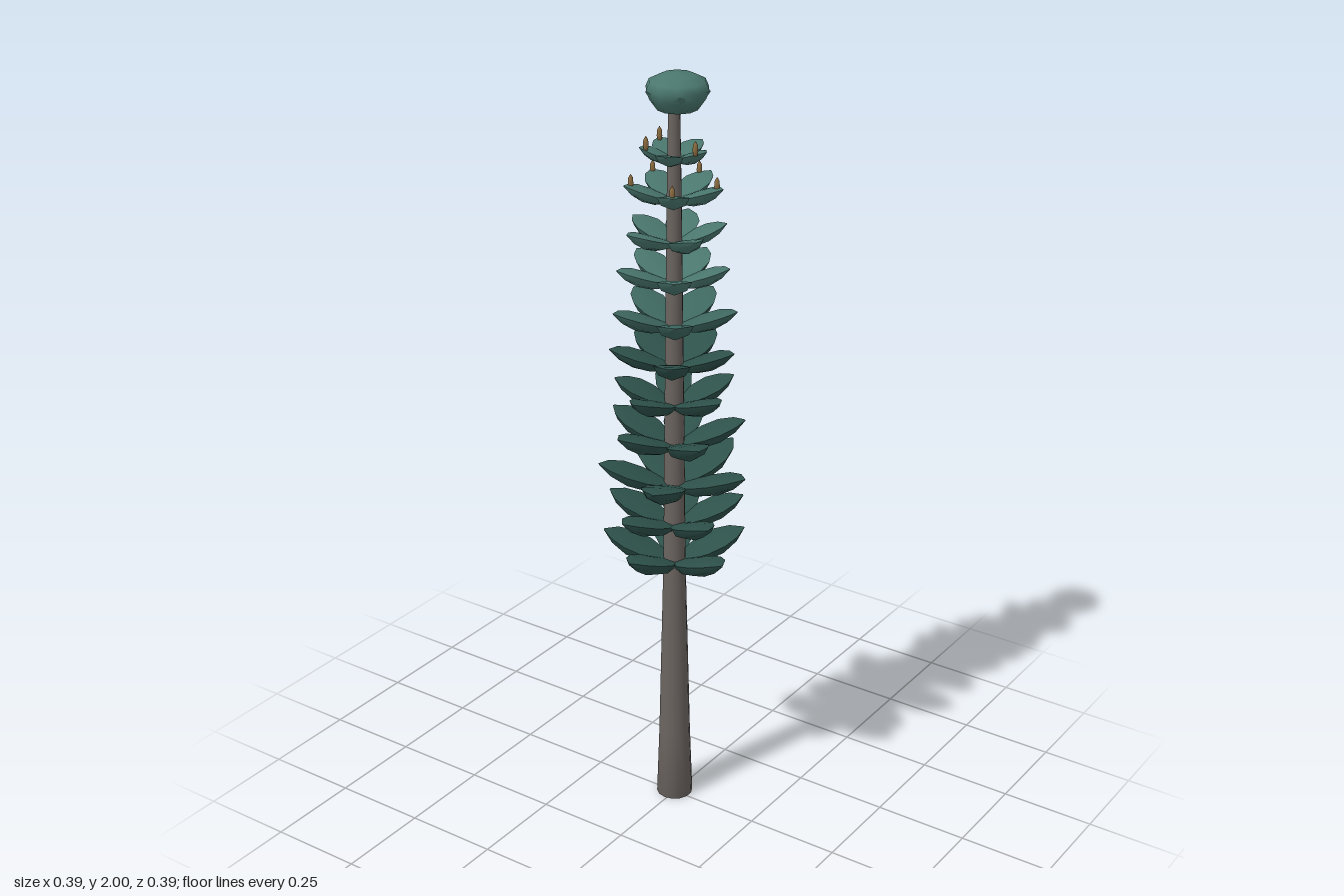
import * as THREE from 'three';

const material = (name, color) => {
  const m = new THREE.MeshStandardMaterial({ color, side: THREE.DoubleSide });
  m.name = name;
  return m;
};

// Small repeatable variation
let seed = 7;
const vary = (amount) => {
  seed = (seed * 16807) % 2147483647;
  return (seed / 2147483647 - 0.5) * 2 * amount;
};

const lathe = (profile, sides) =>
  new THREE.LatheGeometry(profile.map(([r, y]) => new THREE.Vector2(r, y)), sides);

// Leaf-shaped bough along +x: nearly flat top, rounded keel below, pointed tip
function boughGeometry(length, width, depth, rise) {
  const stations = [[0, 0.2], [0.18, 0.6], [0.4, 0.95], [0.64, 1], [0.85, 0.66], [1, 0.06]];
  const top = [[-1, 0.14], [-0.5, 0.2], [0, 0.22], [0.5, 0.2], [1, 0.14]];
  const keel = [[1, 0.14], [0.72, -0.35], [0, -0.62], [-0.72, -0.35], [-1, 0.14]];
  const points = [], index = [];
  for (const row of [top, keel]) {
    const start = points.length / 3, n = row.length;
    stations.forEach(([t, w]) => row.forEach(([side, up]) => {
      points.push(t * length, rise * Math.pow(t, 1.1) + up * depth * w, side * width * w / 2);
    }));
    for (let i = 0; i < stations.length - 1; i++) {
      for (let j = 0; j < n - 1; j++) {
        const a = start + i * n + j, b = a + 1;
        index.push(a, b, a + n, b, b + n, a + n);
      }
    }
  }
  const g = new THREE.BufferGeometry();
  g.setAttribute('position', new THREE.Float32BufferAttribute(points, 3));
  g.setIndex(index);
  g.computeVertexNormals();
  return g;
}

export function createModel() {
  const tree = new THREE.Group();
  tree.name = 'conifer';
  const bark = material('greyBark', 0x6b6460);
  const lower = material('deepGreen', 0x2e524b);
  const middle = material('midGreen', 0x3e6860);
  const upper = material('lightGreen', 0x4a776e);
  const coneBrown = material('coneBrown', 0x8a6c40);
  const cx = -0.006, cz = -0.009;

  const add = (parent, name, geometry, mat, x = 0, y = 0, z = 0) => {
    const mesh = new THREE.Mesh(geometry, mat);
    mesh.name = name;
    mesh.position.set(x, y, z);
    parent.add(mesh);
    return mesh;
  };

  // Tapered trunk
  const trunkProfile = [[0, 0], [0.048, 0], [0.041, 0.2], [0.035, 0.45], [0.029, 0.7], [0.024, 1.2], [0.018, 1.7], [0.014, 1.93]];
  add(tree, 'trunk', lathe(trunkProfile, 14), bark, cx, 0, cz);

  // Whorls of five boughs: root height, reach, heading of the first bough in degrees
  const tiers = [
    [0.705, 0.193, 90], [0.812, 0.178, 100], [0.922, 0.2, 67], [1.037, 0.18, 108],
    [1.147, 0.162, 90], [1.252, 0.16, 60], [1.358, 0.158, 54], [1.472, 0.142, 54],
    [1.575, 0.132, 108], [1.685, 0.124, 60], [1.787, 0.088, 70],
  ];
  tiers.forEach(([y, reach, heading], i) => {
    const whorl = new THREE.Group();
    whorl.name = 'whorl' + (i + 1);
    whorl.position.set(cx, y, cz);
    const mat = i < 6 ? lower : i < 7 ? middle : upper;
    for (let k = 0; k < 5; k++) {
      const length = reach * (1 + vary(0.05));
      const g = boughGeometry(length, 0.035 + reach * 0.36, 0.015 + reach * 0.21, reach * 0.36);
      const bough = add(whorl, 'bough', g, mat);
      bough.rotation.y = -(heading + 72 * k + vary(4)) * Math.PI / 180;
    }
    tree.add(whorl);
  });

  // Rounded crown with small boughs tucked below
  const crown = new THREE.Group();
  crown.name = 'crown';
  crown.position.set(0.002, 1.9, -0.011);
  add(crown, 'crownDome', lathe([[0.012, 0.022], [0.05, 0.012], [0.07, 0.04], [0.078, 0.062], [0.07, 0.08], [0.04, 0.095], [0, 0.1]], 10), upper);
  for (let k = 0; k < 5; k++) {
    const tuft = add(crown, 'crownBough', boughGeometry(0.08, 0.055, 0.03, 0.05), upper, 0, 0.01, 0);
    tuft.rotation.y = (k * 72 + 20) * Math.PI / 180;
  }
  tree.add(crown);

  // Upright seed cones on the two highest whorls
  const cones = [
    [-0.105, 1.72, -0.06], [-0.083, 1.72, 0.062], [-0.008, 1.72, -0.12], [0.1, 1.72, -0.035], [0.05, 1.72, 0.08],
    [-0.07, 1.815, -0.04], [-0.052, 1.815, -0.08], [0.07, 1.815, 0.013], [-0.05, 1.815, 0.045],
  ];
  const coneGeometry = lathe([[0, 0], [0.005, 0], [0.007, 0.012], [0.006, 0.026], [0, 0.036]], 7);
  cones.forEach(([x, y, z]) => add(tree, 'seedCone', coneGeometry, coneBrown, x, y, z));

  return tree;
}
